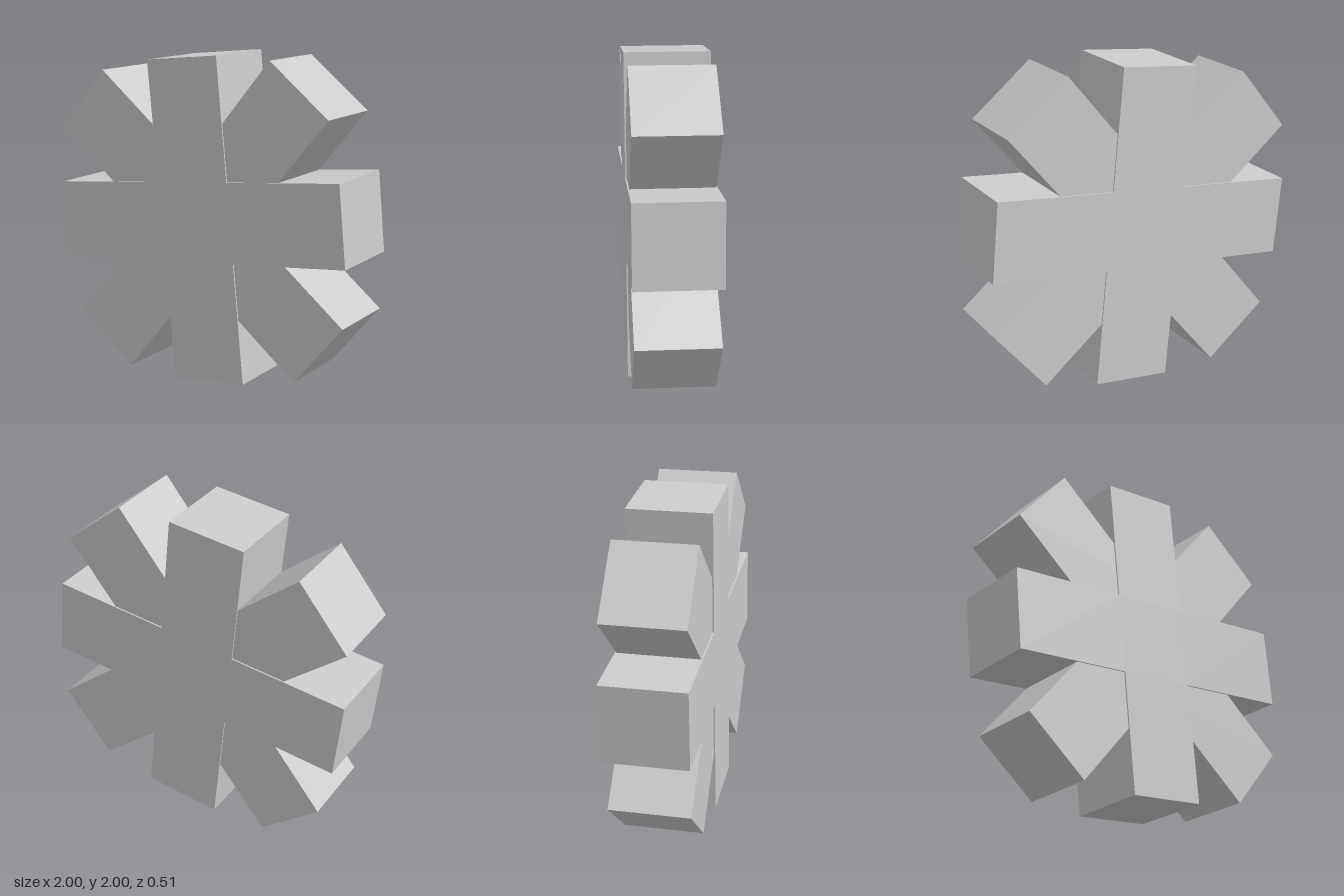
import * as THREE from 'three';

const material = new THREE.MeshStandardMaterial({ color: 0xcccccc, flatShading: true });

// Solid four-armed cross centred on the origin
function makeCross(name, halfLength, halfWidth, depth, degrees) {
  const points = [];
  for (let i = 0; i < 4; i++) {
    const corners = [[halfLength, -halfWidth], [halfLength, halfWidth], [halfWidth, halfWidth]];
    for (const [x, y] of corners) {
      points.push(new THREE.Vector2(x, y).rotateAround(new THREE.Vector2(), i * Math.PI / 2));
    }
  }
  const geometry = new THREE.ExtrudeGeometry(new THREE.Shape(points), { depth, bevelEnabled: false });
  geometry.translate(0, 0, -depth / 2);
  const mesh = new THREE.Mesh(geometry, material);
  mesh.name = name;
  mesh.position.y = 1;
  mesh.rotation.z = THREE.MathUtils.degToRad(degrees);
  return mesh;
}

export function createModel() {
  const group = new THREE.Group();
  group.name = 'eightArmedStar';
  // Thicker, nearly upright cross
  group.add(makeCross('uprightCross', 0.981, 0.244, 0.508, 5.55));
  // Slightly thinner, longer diagonal cross
  group.add(makeCross('diagonalCross', 1.079, 0.243, 0.49, 50.6));
  return group;
}
